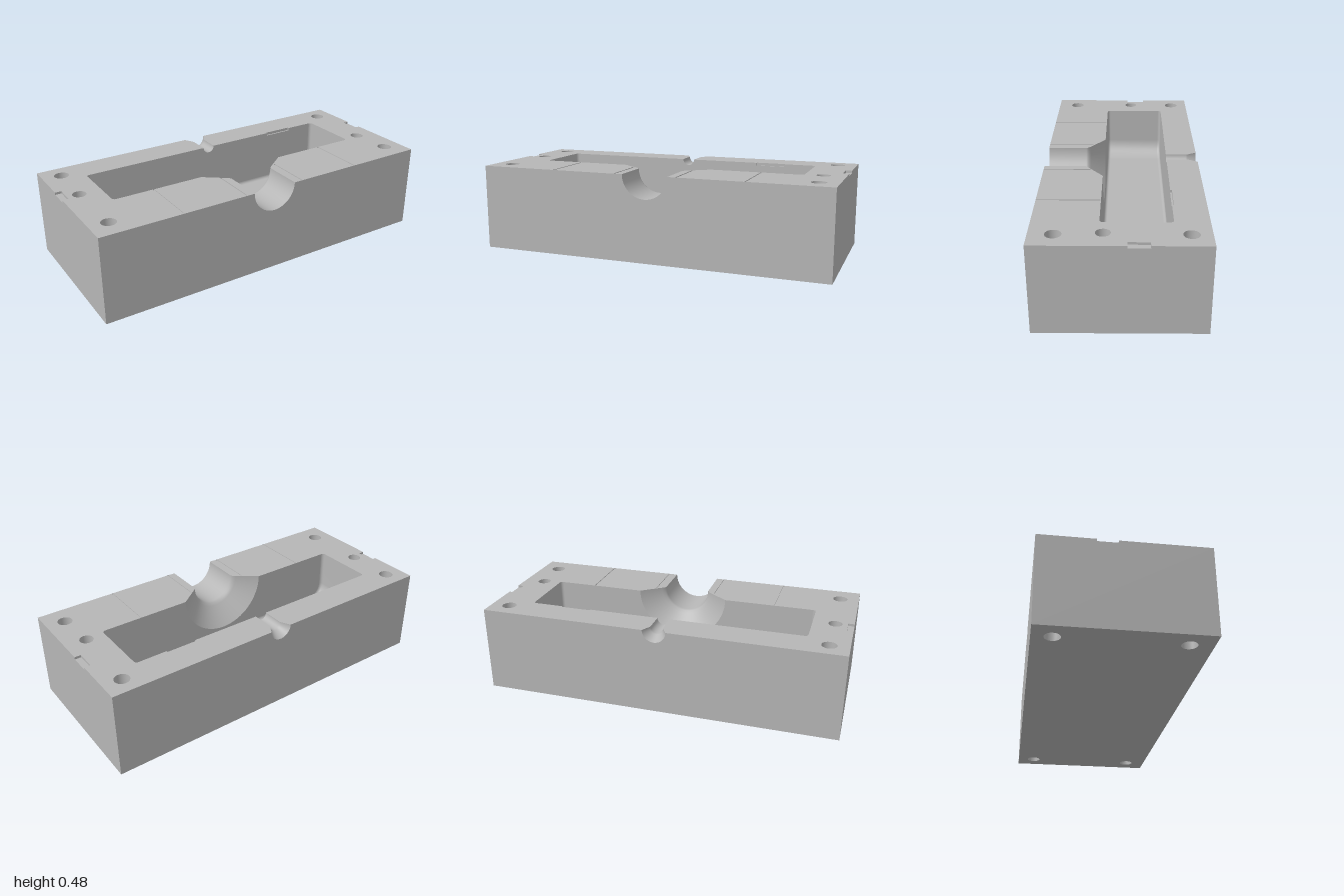
import * as THREE from 'three';

const H = 0.483, D = 0.43;              // block height, half depth
const W = 0.78, Z0 = -0.255, Z1 = 0.1;  // cavity half width, back and front
const DEPTH = 0.31, R = 0.1, F = 0.018; // cavity depth, corner radius, edge fillet
const HOLE = 0.04, PIN = 0.037;
const SLOT = { z0: -0.14, z1: -0.033, depth: 0.013, in: 0.034 };
const VENT = { x0: 0.43, x1: 0.6, z: Z0 - 0.009, depth: 0.016 };
const bolts = [-0.33, 0.31].flatMap(z => [[-0.895, z], [0.895, z]]);
const pins = [[-0.9, -0.055], [0.88, 0.08]];
const grooves = [[0.178, 0.168], [0.55, Z1]]; // x, back end

// [radius, z] of the half-round channels
const frontProfile = [[0.26, Z1], [0.15, 0.184], [0.135, 0.196], [0.13, 0.21], [0.13, D]];
const backProfile = [[0.065, -D], [0.038, -0.382], [0.035, -0.37], [0.035, Z0]];

const v = (x, y) => new THREE.Vector2(x, y);

// Turn a surface inside out
function flip(geo) {
  const i = geo.index.array, n = geo.attributes.normal.array;
  for (let k = 0; k < i.length; k += 3) [i[k], i[k + 2]] = [i[k + 2], i[k]];
  for (let k = 0; k < n.length; k++) n[k] = -n[k];
  return geo;
}

// Inward-facing box without the listed sides (0 +x, 1 -x, 2 +y, 3 -y, 4 +z, 5 -z)
function recess(x0, x1, y0, y1, z0, z1, open) {
  const geo = new THREE.BoxGeometry(x1 - x0, y1 - y0, z1 - z0);
  geo.translate((x0 + x1) / 2, (y0 + y1) / 2, (z0 + z1) / 2);
  geo.setIndex(Array.from(geo.index.array).filter((_, k) => !open.includes(Math.floor(k / 6))));
  geo.clearGroups();
  return flip(geo);
}

// Half circle below the parting line, from +x to -x
function halfCircle(r, y) {
  return Array.from({ length: 33 }, (_, k) => {
    const a = (k / 32) * Math.PI;
    return v(r * Math.cos(a), y - r * Math.sin(a));
  });
}

// U-shaped cavity section, left top to right top
function cavitySection(inset) {
  const w = W - inset, d = DEPTH - inset, r = R - inset, pts = [v(-w, H)];
  for (const s of [-1, 1]) for (let k = 0; k <= 10; k++) {
    const a = ((s < 0 ? k : 10 - k) / 10) * Math.PI / 2;
    pts.push(v(s * (w - r + r * Math.cos(a)), H - d + r - r * Math.sin(a)));
  }
  pts.push(v(w, H));
  return pts;
}

// Cavity floor and sides as section loops along z
function cavityGeometry() {
  const rows = [];
  for (let k = 0; k <= 6; k++) {
    const a = (k / 6) * Math.PI / 2;
    rows.push([F * (1 - Math.cos(a)), F * (1 - Math.sin(a))]);
  }
  const all = [...rows.map(([z, i]) => [Z0 + z, i]), ...rows.reverse().map(([z, i]) => [Z1 - z, i])];
  const pos = [], idx = [];
  all.forEach(([z, inset], j) => {
    const sec = cavitySection(inset), n = sec.length;
    sec.forEach((p, k) => {
      pos.push(p.x, p.y, z);
      if (j && k) {
        const d = j * n + k, c = d - 1, b = d - n, a = b - 1;
        idx.push(a, c, b, b, c, d);
      }
    });
  });
  const geo = new THREE.BufferGeometry();
  geo.setAttribute('position', new THREE.Float32BufferAttribute(pos, 3));
  geo.setIndex(idx);
  geo.computeVertexNormals();
  return geo;
}

function channelGeometry(profile) {
  const geo = new THREE.LatheGeometry(profile.map(p => v(...p)), 32, -Math.PI / 2, Math.PI);
  return flip(geo.rotateX(Math.PI / 2).translate(0, H, 0));
}

function addHole(shape, x, y, r) {
  const path = new THREE.Path();
  path.absarc(x, y, r, 0, Math.PI * 2, true);
  shape.holes.push(path);
}

// One half of the parting face, side s
function topGeometry(s) {
  const pts = [...backProfile];
  if (s > 0) pts.push([VENT.x0, Z0], [VENT.x0, VENT.z], [VENT.x1, VENT.z], [VENT.x1, Z0]);
  const corner = Array.from({ length: 7 }, (_, k) => {
    const a = (k / 6) * Math.PI / 2;
    return [W - F + F * Math.sin(a), F * (1 - Math.cos(a))];
  });
  corner.forEach(([x, z]) => pts.push([x, Z0 + z]));
  [...corner].reverse().forEach(([x, z]) => pts.push([x, Z1 - z]));
  pts.push(...frontProfile, [1, D], [1, SLOT.z1], [1 - SLOT.in, SLOT.z1],
    [1 - SLOT.in, SLOT.z0], [1, SLOT.z0], [1, -D]);
  const shape = new THREE.Shape(pts.map(([x, z]) => v(s * x, -z)));
  for (const [x, z] of bolts) if (x * s > 0) addHole(shape, x, -z, HOLE);
  for (const [x, z] of pins) if (x * s > 0) addHole(shape, x, -z, PIN);
  for (const [x, z] of grooves) {
    const [a, b, c, d] = [s * (x - 0.005), s * (x + 0.005), -(z + 0.003), -(D - 0.002)];
    shape.holes.push(new THREE.Path([v(a, c), v(b, c), v(b, d), v(a, d)]));
  }
  return new THREE.ShapeGeometry(shape, 32).rotateX(-Math.PI / 2).translate(0, H, 0);
}

export function createModel() {
  const group = new THREE.Group();
  const grey = new THREE.MeshStandardMaterial({ color: 0xb6b6b6 });
  grey.name = 'machined grey';
  const add = (name, geo) => {
    const mesh = new THREE.Mesh(geo, grey);
    mesh.name = name;
    group.add(mesh);
    return mesh;
  };
  const face = pts => new THREE.ShapeGeometry(new THREE.Shape(pts));

  // Outer walls with channel mouths
  const wall = r => face([v(-1, 0), v(1, 0), v(1, H), ...halfCircle(r, H), v(-1, H)]);
  add('frontWall', wall(0.13).translate(0, 0, D));
  add('backWall', wall(0.065).rotateY(Math.PI).translate(0, 0, -D));

  // Side walls, parting faces, pry slots and shallow seam grooves
  for (const s of [1, -1]) {
    const side = s > 0 ? 'left' : 'right', y = H - SLOT.depth;
    const outline = [[-D, 0], [D, 0], [D, H], [SLOT.z1, H], [SLOT.z1, y], [SLOT.z0, y], [SLOT.z0, H], [-D, H]];
    add(side + 'Wall', face(outline.map(([z, h]) => v(-s * z, h))).rotateY(s * Math.PI / 2).translate(s, 0, 0));
    add(side + 'PartingFace', topGeometry(s));
    const xs = [s, s * (1 - SLOT.in)].sort((a, b) => a - b);
    add(side + 'PrySlot', recess(xs[0], xs[1], y, H, SLOT.z0, SLOT.z1, [2, s > 0 ? 0 : 1]));
    for (const [x, z] of grooves)
      add(side + 'Groove', recess(s * x - 0.005, s * x + 0.005, H - 0.004, H, z + 0.003, D - 0.002, [2]));
  }

  // Underside with bolt holes
  const base = new THREE.Shape([v(-1, -D), v(1, -D), v(1, D), v(-1, D)]);
  bolts.forEach(([x, z]) => addHole(base, x, z, HOLE));
  add('underside', new THREE.ShapeGeometry(base, 32).rotateX(Math.PI / 2));
  for (const [x, z] of bolts)
    add('boltHole', flip(new THREE.CylinderGeometry(HOLE, HOLE, H, 64, 1, true)).translate(x, H / 2, z));

  // Blind locating holes
  for (const [x, z] of pins) {
    const d = 0.12;
    add('pinHole', flip(new THREE.CylinderGeometry(PIN, PIN, d, 64, 1, true)).translate(x, H - d / 2, z));
    add('pinHoleFloor', new THREE.CircleGeometry(PIN, 64).rotateX(-Math.PI / 2).translate(x, H - d, z));
  }

  // Cavity, its end walls and the vent pocket
  add('cavity', cavityGeometry());
  const yv = H - VENT.depth;
  const vent = [v(VENT.x1, H), v(VENT.x1, yv), v(VENT.x0, yv), v(VENT.x0, H)];
  add('cavityBackWall', face([...cavitySection(F), ...vent, ...halfCircle(0.035, H)]).translate(0, 0, Z0));
  add('cavityFrontWall', face([...cavitySection(F), ...halfCircle(0.26, H)]).rotateY(Math.PI).translate(0, 0, Z1));
  add('ventPocket', recess(VENT.x0, VENT.x1, yv, H, VENT.z, Z0, [2, 4]));

  // Filling channel and narrow rear channel
  add('frontChannel', channelGeometry(frontProfile));
  add('backChannel', channelGeometry(backProfile));
  return group;
}
